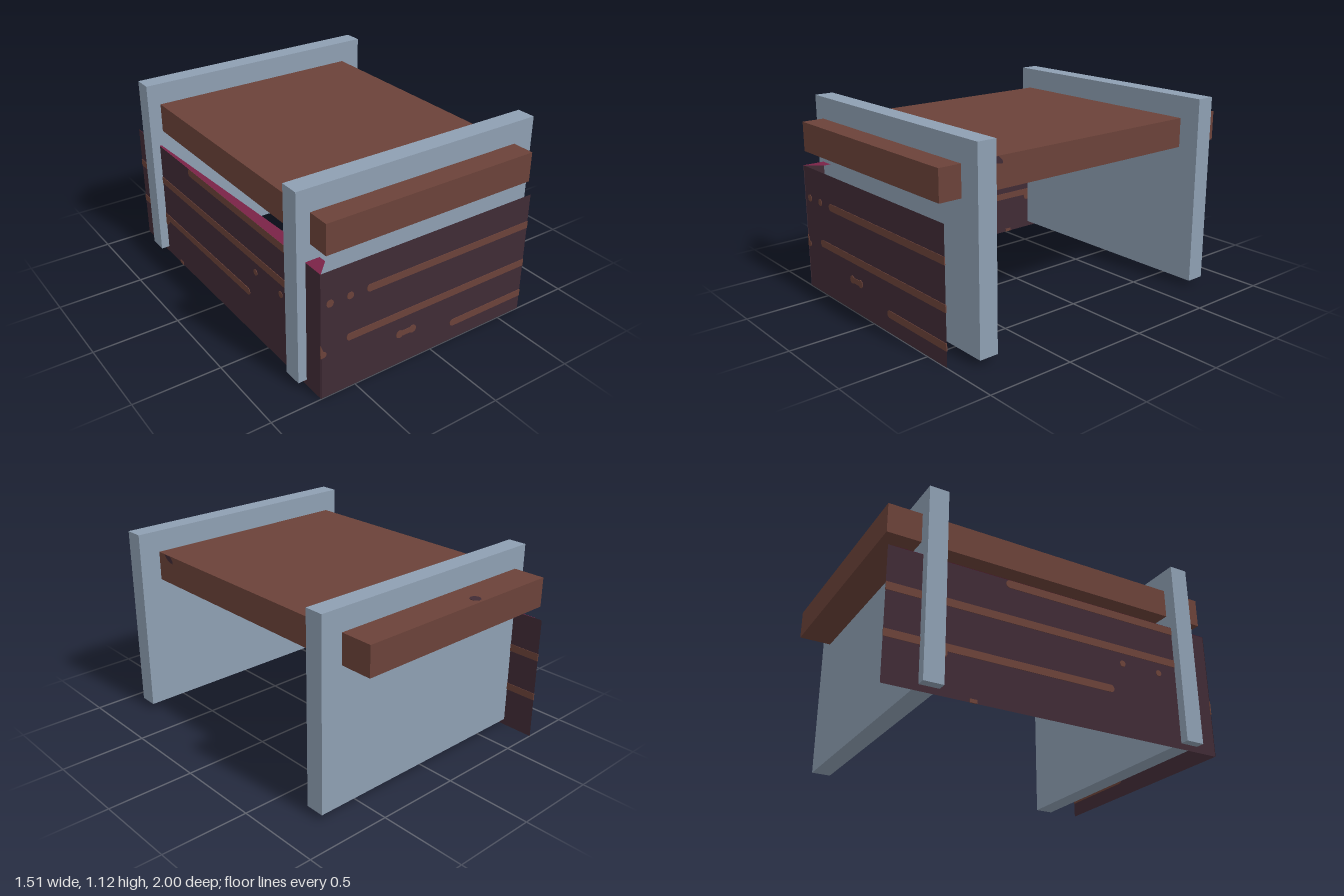
import * as THREE from 'three';

const mat = (name, color, side = THREE.FrontSide) => {
  const m = new THREE.MeshStandardMaterial({ color, side });
  m.name = name;
  return m;
};

export function createModel() {
  const steel = mat('blue grey', 0x8e9fb2);
  const brown = mat('wood brown', 0x6b4239);
  const dark = mat('dark plum', 0x402b35, THREE.DoubleSide);
  const crimson = mat('crimson', 0x7a2347, THREE.DoubleSide);

  const model = new THREE.Group();
  model.name = 'bench';

  const add = (parent, name, geometry, material, x = 0, y = 0, z = 0) => {
    const mesh = new THREE.Mesh(geometry, material);
    mesh.name = name;
    mesh.position.set(x, y, z);
    parent.add(mesh);
    return mesh;
  };

  // Two upright end slabs and the long board running through them
  for (const [name, z] of [['frontSlab', 0.815], ['backSlab', -0.755]]) {
    add(model, name, new THREE.BoxGeometry(1.515, 1.09, 0.11), steel, 0, 0.58, z);
  }
  add(model, 'board', new THREE.BoxGeometry(1.31, 0.17, 2), brown, -0.025, 0.913, 0);

  // Bar outline with each end either round or square
  const bar = (x0, x1, y0, y1, roundStart = true, roundEnd = false) => {
    const r = Math.min((y1 - y0) / 2, (x1 - x0) / 2);
    const s = new THREE.Shape();
    if (roundEnd) {
      s.moveTo(x1 - r, y0);
      s.absarc(x1 - r, y0 + r, r, -Math.PI / 2, Math.PI / 2, false);
    } else {
      s.moveTo(x1, y0);
      s.lineTo(x1, y1);
    }
    if (roundStart) s.absarc(x0 + r, y0 + r, r, Math.PI / 2, Math.PI * 1.5, false);
    else s.lineTo(x0, y1).lineTo(x0, y0);
    s.closePath();
    return s;
  };
  const dot = (x, y, r) => new THREE.Shape().absarc(x, y, r, 0, Math.PI * 2, false);

  // Thin sheet with markings that show on both faces
  const sheet = (name, x0, x1, marks) => {
    const group = new THREE.Group();
    group.name = name;
    add(group, name + 'Sheet', new THREE.PlaneGeometry(x1 - x0, 0.738), dark, (x0 + x1) / 2, 0.369, 0);
    const plate = new THREE.ExtrudeGeometry(marks, { depth: 0.006, bevelEnabled: false, curveSegments: 8 });
    add(group, name + 'Markings', plate, brown, 0, 0, -0.003);
    model.add(group);
    return group;
  };

  const front = sheet('frontPanel', -0.71, 0.66, [
    bar(-0.435, 0.66, 0.533, 0.575),
    bar(-0.555, 0.66, 0.29, 0.332),
    bar(0.135, 0.66, 0.088, 0.13),
    bar(-0.71, -0.675, 0.25, 0.33, false, true),
    bar(-0.23, -0.11, 0.172, 0.204, true, true),
    dot(-0.215, 0.188, 0.023), dot(-0.13, 0.188, 0.023),
    dot(-0.655, 0.555, 0.021), dot(-0.535, 0.555, 0.02),
  ]);
  front.position.z = 0.997;

  // Local x of this sheet runs along world z
  const side = sheet('sidePanel', -1, 1, [
    bar(-0.335, 0.83, 0.692, 0.737, true, true),
    bar(-1, 0.83, 0.487, 0.531, false, true),
    bar(-1, 0.325, 0.238, 0.28, false, true),
    dot(-0.69, 0.228, 0.026),
    dot(0.64, 0.425, 0.018), dot(0.393, 0.425, 0.018),
    bar(-0.54, -0.5, 0, 0.02, false, false),
  ]);
  side.rotation.y = -Math.PI / 2;
  side.position.x = -0.707;

  // Tapering ledge along the upper edge of the side panel
  const ledge = new THREE.Shape([
    new THREE.Vector2(-0.71, -1), new THREE.Vector2(-0.71, 1), new THREE.Vector2(-0.625, 0.915),
  ]);
  const ledgeGeometry = new THREE.ShapeGeometry(ledge).rotateX(Math.PI / 2);
  add(model, 'sideLedge', ledgeGeometry, crimson, 0, 0.738, 0);

  // Small dark knots on the board
  const knotTop = new THREE.CylinderGeometry(0.03, 0.03, 0.004, 12);
  add(model, 'topKnot', knotTop, dark, -0.165, 0.998, -0.952);
  const knotSide = new THREE.ShapeGeometry(
    new THREE.Shape().moveTo(-0.045, 0.04).quadraticCurveTo(-0.02, 0, 0.035, 0).lineTo(0.035, 0.014).lineTo(0.01, 0.04));
  const knot = add(model, 'sideKnot', knotSide, dark, 0.632, 0.957, 0.655);
  knot.rotation.y = Math.PI / 2;

  return model;
}
